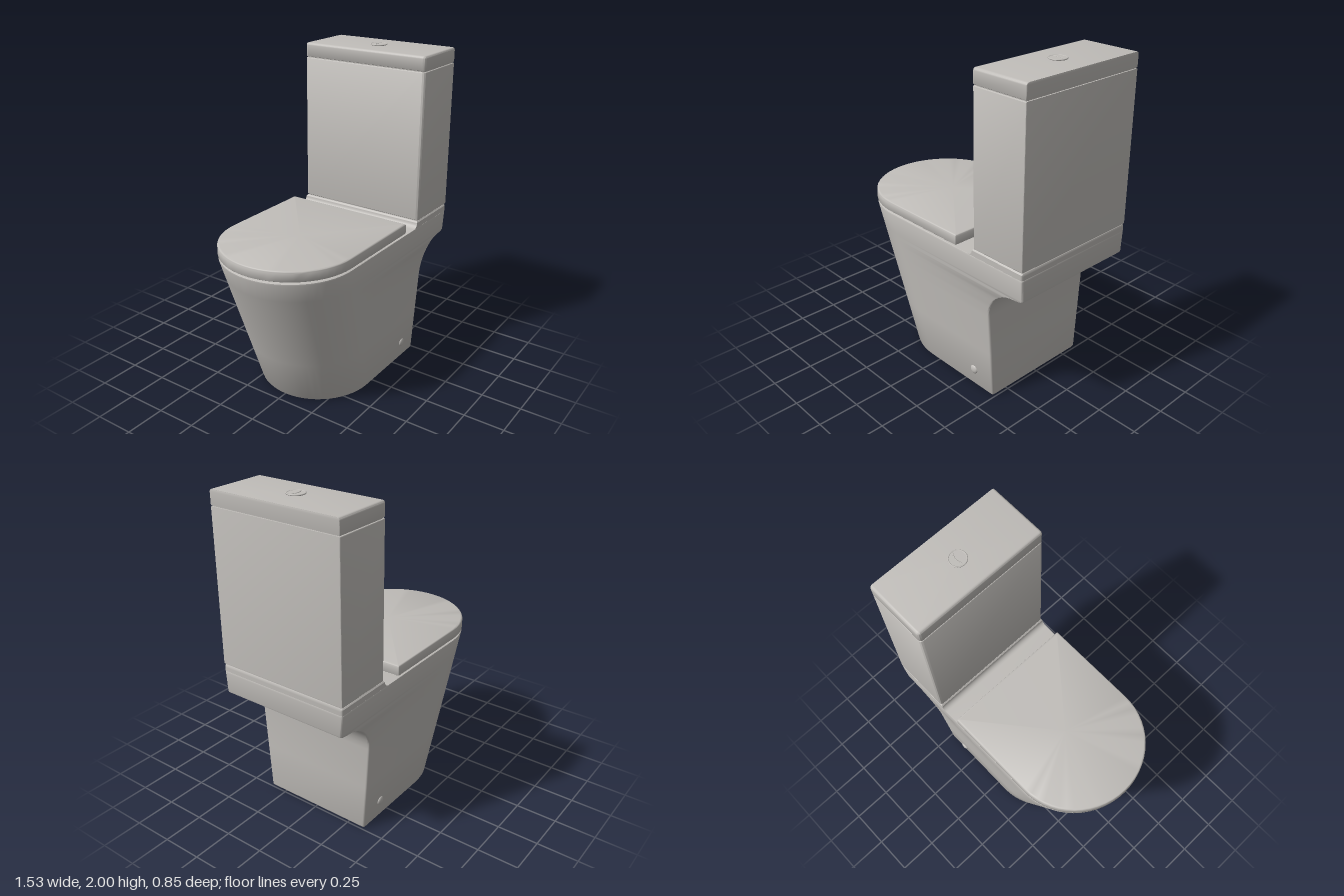
import * as THREE from 'three';
import { toCreasedNormals } from 'three/addons/utils/BufferGeometryUtils.js';

// Horizontal outline: square-ish back at x = xb, front at x = xf rounded by rx (along x) and rz (along z)
function outline({ xb, xf, w, rx, rz = w, rb = 0.012 }) {
  const pts = [];
  const arc = (cx, cz, ax, az, from, to, n) => {
    for (let i = 0; i <= n; i++) {
      const t = from + (to - from) * i / n;
      pts.push([cx + ax * Math.cos(t), cz + az * Math.sin(t)]);
    }
  };
  const h = Math.PI / 2;
  arc(xb - rb, w - rb, rb, rb, 0, h, 3);
  arc(xf + rx, w - rz, rx, rz, h, 2 * h, 14);
  arc(xf + rx, rz - w, rx, rz, 2 * h, 3 * h, 14);
  arc(xb - rb, rb - w, rb, rb, 3 * h, 4 * h, 3);
  return pts;
}

// Skin a stack of outlines from bottom to top and cap both ends
function loft(sections, crease = 0.6) {
  const rings = sections.map(s => outline(s).map(([x, z]) => [x, s.y, z]));
  const pos = [];
  const n = rings[0].length;
  const tri = (a, b, c) => pos.push(...a, ...b, ...c);
  for (let i = 0; i < rings.length - 1; i++) {
    for (let j = 0; j < n; j++) {
      const k = (j + 1) % n, lo = rings[i], hi = rings[i + 1];
      tri(lo[j], hi[j], lo[k]);
      tri(lo[k], hi[j], hi[k]);
    }
  }
  const mid = s => [(s.xb + s.xf) / 2, s.y, 0];
  const last = rings.length - 1;
  for (let j = 0; j < n; j++) {
    const k = (j + 1) % n;
    tri(mid(sections[0]), rings[0][j], rings[0][k]);
    tri(mid(sections[last]), rings[last][k], rings[last][j]);
  }
  const g = new THREE.BufferGeometry();
  g.setAttribute('position', new THREE.Float32BufferAttribute(pos, 3));
  return toCreasedNormals(g, crease);
}

// Slab with softened top and bottom edges; the back edge stays square when keepBack is set
function slab(base, y0, y1, rBottom, rTop, keepBack) {
  const at = (y, d) => ({
    ...base, y, xf: base.xf + d, w: base.w - d,
    xb: base.xb - (keepBack ? 0 : d),
    rx: Math.max(base.rx - d, 0.002),
    rz: base.rz === undefined ? undefined : Math.max(base.rz - d, 0.002),
  });
  const out = [];
  for (let i = 0; i <= 4; i++) {
    const t = i / 4 * Math.PI / 2;
    out.push(at(y0 + rBottom * (1 - Math.cos(t)), rBottom * (1 - Math.sin(t))));
  }
  for (let i = 0; i <= 4; i++) {
    const t = i / 4 * Math.PI / 2;
    out.push(at(y1 - rTop * (1 - Math.sin(t)), rTop * (1 - Math.cos(t))));
  }
  return loft(out);
}

// Pan: tapered body, concave underside at the back, raised shelf for the cistern
function panGeometry() {
  const sections = [];
  const add = (y, xb, d = 0) => {
    const t = y / 0.93;
    sections.push({
      y, xb: xb - d, xf: -0.44 - 0.327 * t + d,
      rx: 0.37 + 0.04 * t - d, w: 0.365 + 0.065 * y - d,
    });
  };
  add(0, 0.49, 0.012);
  add(0.004, 0.49, 0.004);
  add(0.012, 0.49);
  add(0.3, 0.49);
  for (let i = 0; i <= 10; i++) {
    const t = i / 10 * Math.PI / 2;
    add(0.57 + 0.215 * Math.sin(t), 0.49 + 0.23 * (1 - Math.cos(t)));
  }
  add(0.79, 0.75);
  add(0.793, 0.757);
  add(0.802, 0.76);
  add(0.918, 0.76);
  add(0.926, 0.76, 0.003);
  sections[sections.length - 1].xb = 0.76;
  add(0.93, 0.76, 0.012);
  sections[sections.length - 1].xb = 0.76;
  for (let i = 0; i <= 5; i++) {
    const t = i / 5 * Math.PI / 2;
    sections.push({
      y: 0.93 + 0.034 * (1 - Math.cos(t)), xb: 0.76,
      xf: 0.345 + 0.034 * Math.sin(t), rx: 0, w: 0.426,
    });
  }
  sections.push({ y: 0.972, xb: 0.757, xf: 0.387, rx: 0, w: 0.419 });
  return loft(sections);
}

export function createModel() {
  const model = new THREE.Group();
  const ceramic = new THREE.MeshStandardMaterial({ color: 0xc0bdb9 });
  ceramic.name = 'ceramic grey';
  const add = (name, geometry, x = 0, y = 0, z = 0) => {
    const mesh = new THREE.Mesh(geometry, ceramic);
    mesh.name = name;
    mesh.position.set(x, y, z);
    model.add(mesh);
    return mesh;
  };

  add('pan', panGeometry());

  // Seat lid resting on an inset pad
  add('seatPad', slab({ xb: 0.1, xf: -0.66, rx: 0.33, w: 0.33 }, 0.928, 0.945, 0.001, 0.001));
  add('seatLid', slab({ xb: 0.243, xf: -0.767, rx: 0.41, w: 0.425, rb: 0.004 }, 0.941, 1.005, 0.004, 0.013));

  // Cistern with shadow gaps below and above
  const tank = { xb: 0.76, xf: 0.385, rx: 0.018, w: 0.426, rz: 0.018, rb: 0.004 };
  const neck = { ...tank, xb: 0.752, xf: 0.393, w: 0.418 };
  add('cisternBase', slab(neck, 0.965, 0.985, 0.001, 0.001));
  add('cistern', slab(tank, 0.977, 1.897, 0.004, 0.005, true));
  add('cisternNeck', slab(neck, 1.89, 1.91, 0.001, 0.001));
  add('cisternLid', slab(tank, 1.903, 1.99, 0.004, 0.016, true));

  // Flush button with a rim and a crescent ridge
  add('flushButton', new THREE.CylinderGeometry(0.046, 0.046, 0.012, 32), 0.57, 1.991, 0);
  const rim = add('flushRim', new THREE.TorusGeometry(0.049, 0.004, 8, 32), 0.57, 1.995, 0);
  rim.rotation.x = Math.PI / 2;
  const ridge = new THREE.QuadraticBezierCurve3(
    new THREE.Vector3(-0.037, 0, 0), new THREE.Vector3(0, 0, -0.022), new THREE.Vector3(0.037, 0, 0));
  add('flushRidge', new THREE.TubeGeometry(ridge, 12, 0.003, 6), 0.57, 1.997, 0);

  // Hinge discs and floor fixing caps on both sides
  for (const side of [1, -1]) {
    add('hinge', new THREE.CylinderGeometry(0.054, 0.058, 0.014, 32), 0.213, 0.936, side * 0.18);
    const cap = add('fixingCap', new THREE.SphereGeometry(0.028, 20, 8, 0, Math.PI * 2, 0, Math.PI / 2),
      0.335, 0.115, side * 0.371);
    cap.scale.y = 0.5;
    cap.rotation.x = side * Math.PI / 2;
  }
  return model;
}
